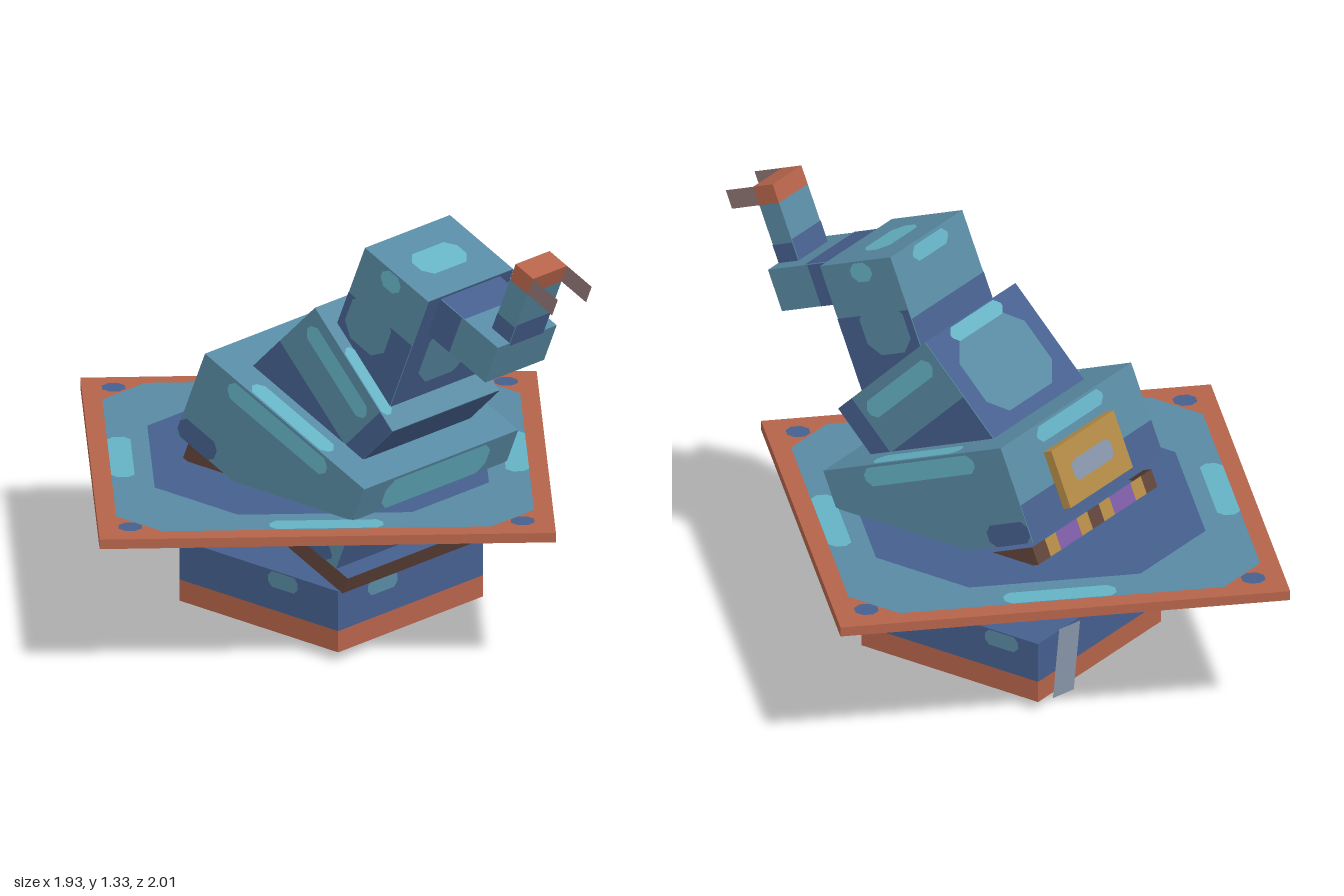
import * as THREE from 'three';

const mat = (name, color, side = THREE.FrontSide) => {
  const m = new THREE.MeshStandardMaterial({ color, side });
  m.name = name;
  return m;
};
const TILT = Math.PI / 8;

// How a flat patch is turned to lie on each face of a box
const FACES = {
  right: { rot: [0, Math.PI / 2, 0], axis: [1, 0, 0] },
  left: { rot: [0, -Math.PI / 2, 0], axis: [-1, 0, 0] },
  top: { rot: [-Math.PI / 2, 0, 0], axis: [0, 1, 0] },
  bottom: { rot: [Math.PI / 2, 0, 0], axis: [0, -1, 0] },
  front: { rot: [0, 0, 0], axis: [0, 0, 1] },
  back: { rot: [0, Math.PI, 0], axis: [0, 0, -1] },
};

// Rectangle with clipped corners
function clippedRect(w, h, c, u = 0, v = 0) {
  const a = w / 2, b = h / 2;
  const pts = [[a, b - c], [a - c, b], [c - a, b], [-a, b - c], [-a, c - b], [c - a, -b], [a - c, -b], [a, c - b]];
  return new THREE.ShapeGeometry(new THREE.Shape(pts.map(([x, y]) => new THREE.Vector2(x + u, y + v))));
}

// A named box that can carry painted patches on its faces
function block(parent, name, size, pos, rx, material) {
  const group = new THREE.Group();
  group.name = name;
  group.position.set(...pos);
  group.rotation.x = rx;
  const body = new THREE.Mesh(new THREE.BoxGeometry(...size), material);
  body.name = name + 'Body';
  group.add(body);
  parent.add(group);
  const paint = (face, w, h, u, v, m, cut = 0, layer = 1) => {
    const { rot, axis } = FACES[face];
    const p = new THREE.Mesh(clippedRect(w, h, cut, u, v), m);
    p.name = name + 'Paint';
    p.rotation.set(...rot);
    p.position.set(...axis.map((a, i) => a * (size[i] / 2 + 0.002 * layer)));
    group.add(p);
  };
  const paintSides = (w, h, u, v, m, cut, layer) => {
    paint('right', w, h, u, v, m, cut, layer);
    paint('left', w, h, -u, v, m, cut, layer);
  };
  return { group, paint, paintSides };
}

export function createModel() {
  const teal = mat('teal', 0x588aa3), blue = mat('deepBlue', 0x465f8e), cyan = mat('cyan', 0x65b2c4);
  const rust = mat('terracotta', 0xb5634a), gold = mat('gold', 0xb38a45, THREE.DoubleSide);
  const brown = mat('brown', 0x60443a, THREE.DoubleSide), purple = mat('purple', 0x7f5ca6, THREE.DoubleSide);
  const slate = mat('slate', 0x8794a8, THREE.DoubleSide), mauve = mat('mauve', 0x8c7472, THREE.DoubleSide);
  const model = new THREE.Group();
  model.name = 'bentHat';

  // Lower cap: terracotta hem under a blue block
  const cap = block(model, 'innerCap', [0.64, 0.127, 0.645], [0, 0.162, 0.018], 0, blue);
  cap.paint('front', 0.13, 0.05, -0.125, 0.036, teal, 0.015);
  cap.paint('right', 0.12, 0.05, 0.19, 0.036, teal, 0.015);
  cap.paint('left', 0.12, 0.05, 0.1, 0.036, teal, 0.015);
  cap.paint('back', 0.13, 0.05, 0.1, 0.036, teal, 0.015);
  const hem = block(model, 'capHem', [0.64, 0.068, 0.645], [0, 0.065, 0.018], 0, rust);
  hem.paint('bottom', 0.64, 0.645, 0, 0, blue);
  hem.paint('bottom', 0.17, 0.17, 0.165, -0.13, rust, 0, 2);

  // Loose tag hanging behind the cap
  const tag = new THREE.Mesh(new THREE.PlaneGeometry(0.11, 0.22), slate);
  tag.name = 'hangingTag';
  tag.position.set(0.18, 0.117, -0.31);
  tag.rotation.z = 0.15;
  model.add(tag);

  // Square brim turned to a diamond, painted alike above and below
  const brim = block(model, 'brim', [1.365, 0.03, 1.365], [0, 0.46, -0.035], 0, rust);
  brim.group.rotation.y = Math.PI / 4;
  for (const face of ['top', 'bottom']) {
    brim.paint(face, 1.25, 1.25, 0, 0, teal, 0.133);
    brim.paint(face, 1.0, 1.0, 0, 0, blue, 0.24, 2);
    for (const s of [-1, 1]) {
      brim.paint(face, 0.34, 0.07, 0, s * 0.59, cyan, 0.02, 2);
      brim.paint(face, 0.07, 0.34, s * 0.59, 0, cyan, 0.02, 2);
      for (const t of [-1, 1]) brim.paint(face, 0.07, 0.07, s * 0.587, t * 0.587, blue, 0.02, 2);
    }
  }

  // Open band below the crown: four thin walls, the back one striped
  const band = new THREE.Group();
  band.name = 'band';
  band.position.set(0, 0.379, 0.036);
  band.rotation.x = TILT;
  model.add(band);
  const wall = (w, x, z, ry, m) => {
    const p = new THREE.Mesh(new THREE.PlaneGeometry(w, 0.057), m);
    p.name = 'bandWall';
    p.position.set(x, 0, z);
    p.rotation.y = ry;
    band.add(p);
  };
  wall(0.62, 0, 0.35, 0, brown);
  for (const s of [-1, 1]) {
    wall(0.33, s * 0.31, 0.185, s * Math.PI / 2, brown);
    wall(0.15, s * 0.31, -0.055, s * Math.PI / 2, gold);
    wall(0.22, s * 0.31, -0.24, s * Math.PI / 2, brown);
  }
  let x = 0.31;
  const stripes = [[0.065, brown], [0.055, gold], [0.11, purple], [0.055, gold], [0.06, brown],
    [0.055, gold], [0.11, purple], [0.055, gold], [0.055, brown]];
  for (const [w, m] of stripes) {
    wall(w, x - w / 2, -0.35, Math.PI, m);
    x -= w;
  }

  // Crown, first tier
  const tier1 = block(model, 'crownBase', [0.68, 0.306, 0.7], [0, 0.582, 0.083], TILT, teal);
  tier1.paintSides(0.43, 0.06, 0.015, 0.115, cyan, 0.02);
  tier1.paintSides(0.16, 0.07, 0.27, -0.118, blue, 0.02);
  tier1.paintSides(0.25, 0.05, -0.2, -0.128, blue, 0.02);
  tier1.paint('front', 0.46, 0.11, 0, 0.09, cyan, 0.03);
  tier1.paint('front', 0.68, 0.09, 0, -0.108, blue);
  tier1.paint('front', 0.4, 0.06, 0, -0.08, teal, 0.02, 2);
  tier1.paint('back', 0.68, 0.12, 0, -0.093, blue);
  tier1.paint('back', 0.34, 0.05, 0, 0.12, cyan, 0.02);
  tier1.paint('bottom', 0.68, 0.7, 0, 0, blue);
  for (const s of [-1, 1]) tier1.paint('top', 0.06, 0.34, s * 0.305, 0, cyan, 0.02);

  // Buckle on the back of the crown
  const buckle = block(tier1.group, 'buckle', [0.325, 0.185, 0.03], [0, -0.025, -0.365], 0, gold);
  buckle.paint('back', 0.2, 0.065, 0, 0, slate, 0.015);

  // Second tier, leaning further forward
  const tier2 = block(model, 'crownMiddle', [0.47, 0.4, 0.445], [0, 0.766, 0.184], Math.PI / 4, teal);
  tier2.paintSides(0.445, 0.2, 0, -0.1, blue);
  tier2.paintSides(0.07, 0.2, -0.188, 0.1, blue);
  tier2.paintSides(0.32, 0.06, 0.03, 0.135, cyan, 0.02);
  tier2.paint('back', 0.47, 0.4, 0, 0, blue);
  tier2.paint('back', 0.34, 0.26, 0, 0.02, teal, 0.06, 2);
  tier2.paint('back', 0.26, 0.05, 0, 0.17, cyan, 0.02, 2);
  tier2.paint('front', 0.47, 0.4, 0, 0, blue);
  for (const s of [-1, 1]) tier2.paint('top', 0.045, 0.24, s * 0.21, -0.05, cyan, 0.015);

  // Third tier
  const tier3 = block(model, 'crownTop', [0.375, 0.48, 0.278], [0, 1.009, 0.364], TILT, teal);
  tier3.paintSides(0.278, 0.31, 0, -0.085, blue);
  tier3.paintSides(0.17, 0.16, 0.03, 0.02, teal, 0.04, 2);
  tier3.paintSides(0.08, 0.06, 0.01, 0.205, cyan, 0.02);
  tier3.paint('front', 0.375, 0.48, 0, 0, blue);
  tier3.paint('front', 0.22, 0.22, 0, 0, teal, 0.05, 2);
  tier3.paint('back', 0.375, 0.28, 0, -0.1, blue);
  tier3.paint('back', 0.18, 0.05, 0, 0.205, cyan, 0.02);
  tier3.paint('top', 0.2, 0.1, 0, 0, cyan, 0.03);

  // Bent neck at the end of the crown
  const neck = block(model, 'neck', [0.26, 0.134, 0.256], [0, 1.06, 0.67], TILT, teal);
  neck.paintSides(0.1, 0.134, 0.078, 0, blue);
  neck.paint('top', 0.26, 0.11, 0, 0.073, blue);
  neck.paint('bottom', 0.26, 0.256, 0, 0, blue);

  // Tip: upright post, terracotta end and two thin side flaps
  const tip = new THREE.Group();
  tip.name = 'tip';
  tip.position.set(0, 1.193, 0.82);
  tip.rotation.x = TILT;
  model.add(tip);
  const post = block(tip, 'tipPost', [0.15, 0.207, 0.077], [0, -0.03, 0], 0, teal);
  post.paintSides(0.077, 0.07, 0, -0.06, blue);
  post.paint('front', 0.15, 0.08, 0, -0.055, blue);
  post.paint('back', 0.15, 0.08, 0, -0.055, blue);
  block(tip, 'tipEnd', [0.15, 0.06, 0.077], [0, 0.1035, 0], 0, rust);
  for (const s of [-1, 1]) {
    const flap = new THREE.Mesh(new THREE.PlaneGeometry(0.108, 0.06), mauve);
    flap.name = 'tipFlap';
    flap.position.set(s * 0.075, 0.1035, 0.0925);
    flap.rotation.y = s * Math.PI / 2;
    tip.add(flap);
  }
  return model;
}
